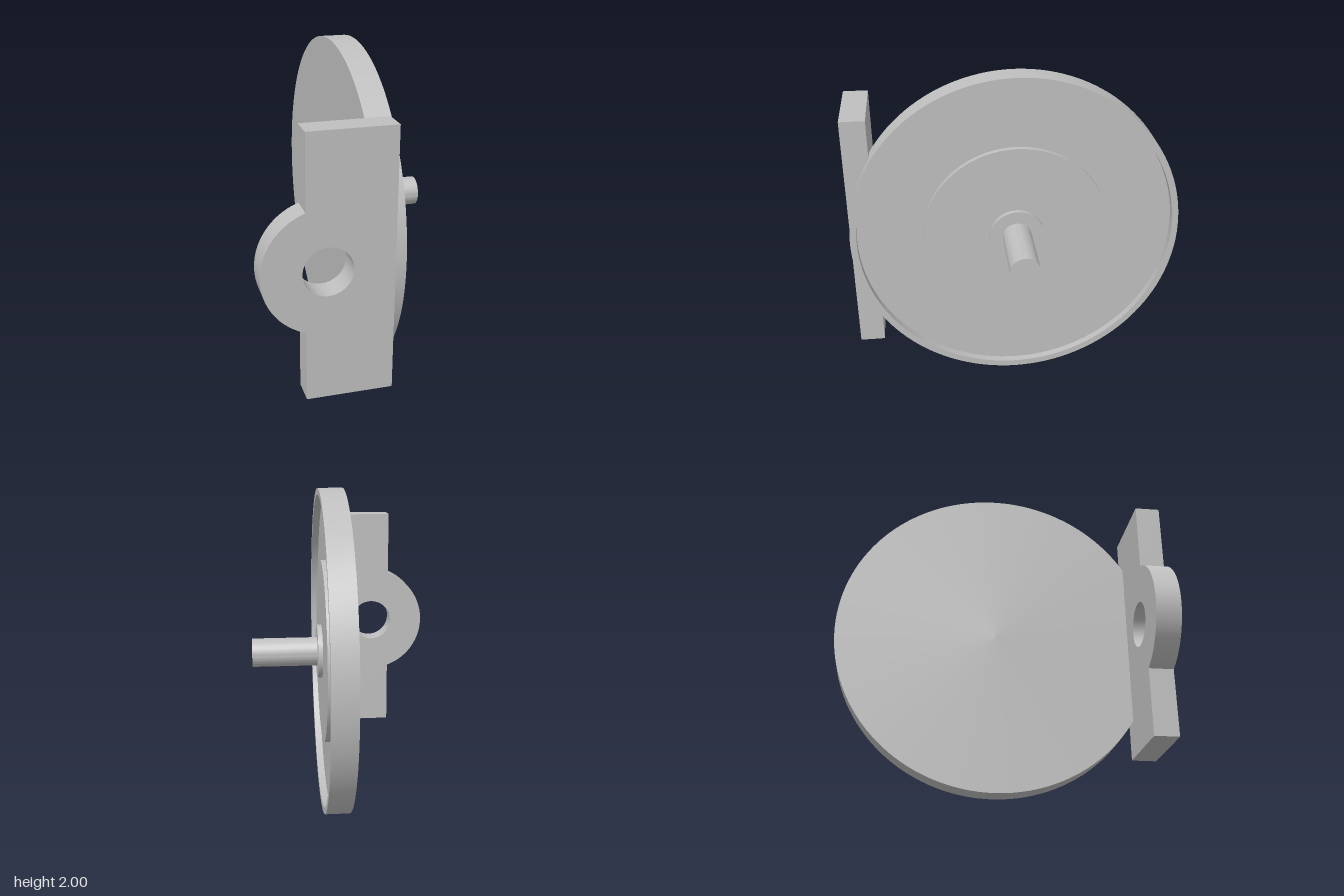
import * as THREE from 'three';
import { toCreasedNormals } from 'three/addons/utils/BufferGeometryUtils.js';

export function createModel() {
  const group = new THREE.Group();
  const metal = new THREE.MeshStandardMaterial({ color: 0xbfbfbf });
  metal.name = 'light grey metal';

  const add = (name, geometry) => {
    const mesh = new THREE.Mesh(toCreasedNormals(geometry, 0.5), metal);
    mesh.name = name;
    group.add(mesh);
    return mesh;
  };

  // Turned part along the x axis; profile points are [radius, x]
  const turned = (name, profile, segments) => {
    const points = profile.map(([r, x]) => new THREE.Vector2(r, x));
    const mesh = add(name, new THREE.LatheGeometry(points, segments));
    mesh.rotation.z = -Math.PI / 2;
    mesh.position.y = 1;
  };

  // Disc with raised rim, recessed ring and central boss
  turned('disc', [
    [0, 0.035], [1, 0.035], [1, 0.185], [0.96, 0.185],
    [0.96, 0.14], [0.565, 0.14], [0.565, 0.172], [0, 0.172],
  ], 128);

  // Collar and shaft
  turned('collar', [[0, 0.16], [0.165, 0.16], [0.165, 0.2], [0, 0.2]], 64);
  turned('shaft', [[0, 0.16], [0.088, 0.16], [0.088, 0.6], [0, 0.6]], 64);

  // Mounting plate with rounded ear and through hole
  const earX = -0.24, earR = 0.36, left = -0.36, right = 0.125;
  const angle = Math.acos((left - earX) / earR);
  const outline = new THREE.Shape();
  outline.moveTo(left, 0.25);
  outline.lineTo(right, 0.25);
  outline.lineTo(right, 1.76);
  outline.lineTo(left, 1.76);
  outline.absarc(earX, 1, earR, angle, 2 * Math.PI - angle, false);
  outline.closePath();
  const hole = new THREE.Path();
  hole.absarc(earX, 1, 0.138, 0, Math.PI * 2, true);
  outline.holes.push(hole);
  const plate = add('mountingPlate', new THREE.ExtrudeGeometry(outline, {
    depth: 0.15, bevelEnabled: false, curveSegments: 48,
  }));
  plate.position.z = 0.85;

  return group;
}
